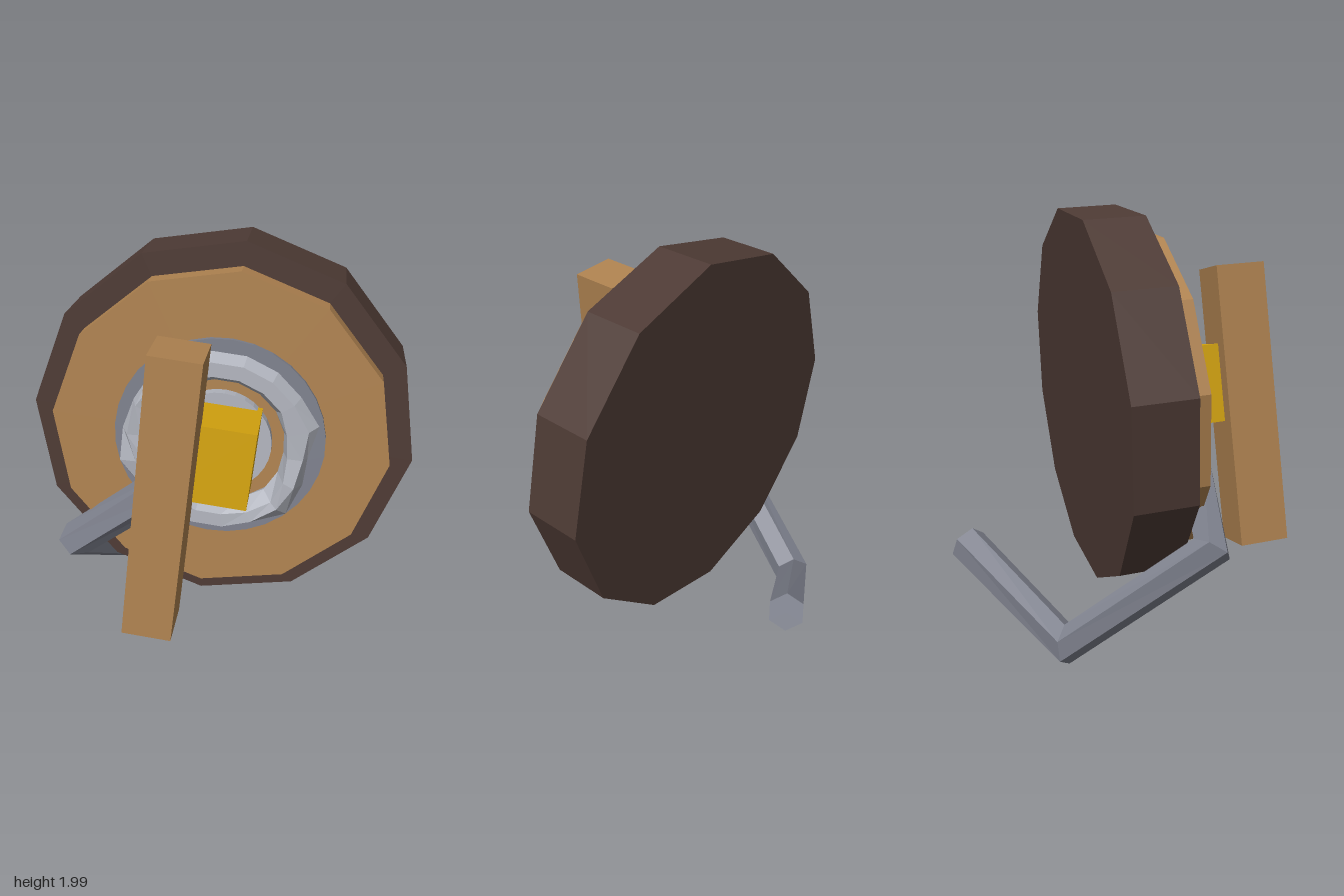
import * as THREE from 'three';

const flat = (color, name) => {
  const m = new THREE.MeshStandardMaterial({ color, flatShading: true });
  m.name = name;
  return m;
};

// Straight-sided path through points; one tube segment per span
class Polyline extends THREE.Curve {
  constructor(points) { super(); this.points = points; }
  getPoint(t, target = new THREE.Vector3()) {
    const n = this.points.length - 1, i = Math.min(Math.floor(t * n + 1e-6), n - 1);
    return target.lerpVectors(this.points[i], this.points[i + 1], t * n - i);
  }
  getPointAt(t, target) { return this.getPoint(t, target); }
  getTangentAt(t, target = new THREE.Vector3()) {
    const p = this.points, n = p.length - 1, i = Math.round(t * n);
    const dir = (a, b) => p[b].clone().sub(p[a]).normalize();
    target.set(0, 0, 0);
    if (i > 0) target.add(dir(i - 1, i));
    if (i < n) target.add(dir(i, i + 1));
    return target.normalize();
  }
}

export function createModel() {
  const root = new THREE.Group();
  root.name = 'roundShield';
  const darkWood = flat(0x4d3a34, 'dark wood');
  const wood = flat(0xae8250, 'wood');
  const steel = flat(0xb0b3bc, 'light steel');
  const iron = flat(0x7d808c, 'iron');
  const gold = flat(0xd4a30f, 'gold');

  // Everything but the rod sits in one tilted frame, z pointing out of the face
  const face = new THREE.Group();
  face.name = 'tiltedFace';
  const z = new THREE.Vector3(-0.237, 0.075, 0.969).normalize();
  const y = new THREE.Vector3(0.128, 0.99, -0.045).normalize();
  const x = new THREE.Vector3().crossVectors(y, z).normalize();
  y.crossVectors(z, x);
  face.quaternion.setFromRotationMatrix(new THREE.Matrix4().makeBasis(x, y, z));
  face.position.set(-0.03, 1.122, 0.12);
  root.add(face);

  const add = (parent, name, geometry, material) => {
    const mesh = new THREE.Mesh(geometry, material);
    mesh.name = name;
    parent.add(mesh);
    return mesh;
  };
  const disc = (name, radius, z0, z1, sides, material) => add(face, name,
    new THREE.CylinderGeometry(radius, radius, z1 - z0, sides)
      .rotateX(Math.PI / 2).translate(0, 0, (z0 + z1) / 2), material);
  const box = (name, x0, x1, y0, y1, z0, z1, material) => add(face, name,
    new THREE.BoxGeometry(x1 - x0, y1 - y0, z1 - z0)
      .translate((x0 + x1) / 2, (y0 + y1) / 2, (z0 + z1) / 2), material);

  // Stacked discs
  disc('backDisc', 0.884, -0.28, 0, 12, darkWood);
  disc('frontDisc', 0.776, -0.01, 0.09, 12, wood);
  disc('centreBoss', 0.24, 0.08, 0.135, 32, steel);

  // Flat washer under the raised ring
  const washer = new THREE.Shape().absarc(0, 0, 0.48, 0, Math.PI * 2);
  washer.holes.push(new THREE.Path().absarc(0, 0, 0.33, 0, Math.PI * 2, true));
  add(face, 'washer', new THREE.ExtrudeGeometry(washer,
    { depth: 0.02, bevelEnabled: false, curveSegments: 16 }).translate(0, 0, 0.088), iron);

  // Raised ring, dented on its left and right sides
  const around = 18, tube = 6;
  const ringGeo = new THREE.TorusGeometry(0.37, 0.065, tube, around);
  const pos = ringGeo.attributes.position;
  const noise = (i, j) => {
    const s = Math.sin(i * 12.9898 + j * 78.233) * 43758.5453;
    return s - Math.floor(s) - 0.5;
  };
  for (let k = 0; k < pos.count; k++) {
    const i = k % (around + 1) % around, j = Math.floor(k / (around + 1)) % tube;
    const dented = i <= 1 || i >= 15 || (i >= 8 && i <= 10);
    if (!dented) continue;
    const grow = 1 + 0.05 * noise(i, j) / 0.37;
    pos.setXYZ(k, pos.getX(k) * grow, pos.getY(k) * grow,
      pos.getZ(k) + 0.04 * noise(j + 31, i));
  }
  ringGeo.translate(0, 0, 0.14);
  add(face, 'raisedRing', ringGeo, steel);

  // Block and the plank fixed to its front
  box('goldBlock', -0.215, 0.175, -0.183, 0.183, 0.1, 0.385, gold);
  box('plank', -0.283, -0.063, -0.772, 0.541, 0.367, 0.602, wood);

  // Bent six-sided rod wrapping round the rim to the back
  const rod = new THREE.Group();
  rod.name = 'bentRod';
  root.add(rod);
  const path = new Polyline([
    [-0.21, 1.01, 0.29], [-0.74, 0.54, 0.08], [-0.42, 0.1, -0.45], [0.245, 0.395, -0.645],
  ].map((p) => new THREE.Vector3(...p)));
  add(rod, 'rodShaft', new THREE.TubeGeometry(path, 3, 0.09, 6), iron);
  for (const t of [0, 1]) {
    const cap = add(rod, t ? 'rodBackCap' : 'rodFrontCap', capGeometry(path, t, 0.09), iron);
    cap.material = iron;
  }
  return root;
}

// Six-sided end cap matching the tube's own end ring
function capGeometry(path, t, radius) {
  const frames = path.computeFrenetFrames(3, false), i = t * 3;
  const c = path.getPointAt(t), pts = [];
  for (let k = 0; k < 6; k++) {
    const a = k * Math.PI / 3;
    pts.push(c.clone()
      .addScaledVector(frames.normals[i], -Math.cos(a) * radius)
      .addScaledVector(frames.binormals[i], Math.sin(a) * radius));
  }
  const out = frames.tangents[i].clone().multiplyScalar(t ? 1 : -1);
  const turn = pts[0].clone().sub(c).cross(pts[1].clone().sub(c)).dot(out);
  if (turn < 0) pts.reverse();
  const tris = [];
  for (let k = 0; k < 6; k++) tris.push(c, pts[k], pts[(k + 1) % 6]);
  const g = new THREE.BufferGeometry().setFromPoints(tris);
  g.computeVertexNormals();
  return g;
}
